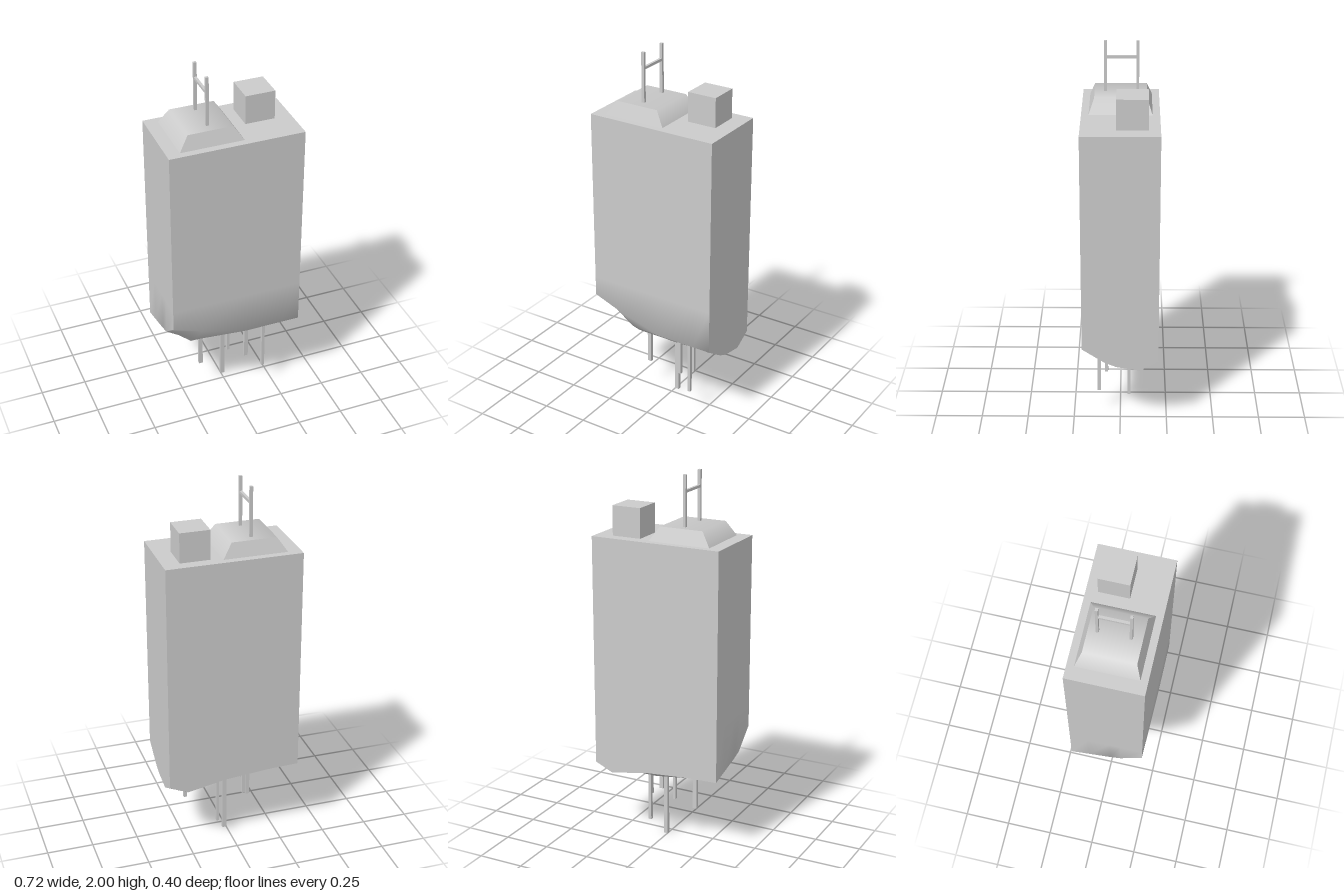
import * as THREE from 'three';
import { toCreasedNormals } from 'three/addons/utils/BufferGeometryUtils.js';

const material = new THREE.MeshStandardMaterial({ color: 0xcccccc });
const CREASE = 1.05;

function add(parent, name, geometry, x = 0, y = 0, z = 0) {
  const mesh = new THREE.Mesh(geometry, material);
  mesh.name = name;
  mesh.position.set(x, y, z);
  parent.add(mesh);
  return mesh;
}

// Tall block whose underside is an uneven, faceted keel
function bodyGeometry() {
  const xs = [-0.36, -0.2, 0.05, 0.26, 0.36];
  const zs = [-0.2, -0.1, 0.02, 0.08, 0.2];
  const underside = [ // heights by row of z, back to front
    [0.43, 0.425, 0.405, 0.365, 0.41],
    [0.455, 0.385, 0.35, 0.35, 0.355],
    [0.485, 0.345, 0.345, 0.355, 0.375],
    [0.505, 0.4, 0.395, 0.395, 0.4],
    [0.61, 0.55, 0.48, 0.48, 0.48],
  ];
  const rows = [0, 0.72, 1.66];
  const geometry = new THREE.BoxGeometry(4, 2, 4, 4, 2, 4);
  const p = geometry.attributes.position;
  for (let i = 0; i < p.count; i++) {
    const ix = Math.round(p.getX(i) + 2);
    const iy = Math.round(p.getY(i) + 1);
    const iz = Math.round(p.getZ(i) + 2);
    p.setXYZ(i, xs[ix], iy === 0 ? underside[iz][ix] : rows[iy], zs[iz]);
  }
  return toCreasedNormals(geometry, CREASE);
}

// Low hatch: a box with its top drawn in
function hatchGeometry() {
  const geometry = new THREE.BoxGeometry(0.34, 0.075, 0.324);
  const p = geometry.attributes.position;
  for (let i = 0; i < p.count; i++) {
    if (p.getY(i) > 0) p.setXYZ(i, Math.sign(p.getX(i)) * 0.119, p.getY(i), Math.sign(p.getZ(i)) * 0.134);
  }
  return toCreasedNormals(geometry, CREASE);
}

export function createModel() {
  const model = new THREE.Group();
  model.name = 'block';

  add(model, 'body', bodyGeometry());
  add(model, 'hatch', hatchGeometry(), -0.12, 1.6975, 0);
  add(model, 'roofBox', new THREE.BoxGeometry(0.16, 0.16, 0.16), 0.19, 1.738, -0.06);

  // Twin masts joined by a crossbar
  const masts = new THREE.Group();
  masts.name = 'masts';
  for (const z of [0.078, -0.087]) {
    add(masts, 'mast', new THREE.BoxGeometry(0.016, 0.3, 0.014), -0.117, 1.85, z);
  }
  add(masts, 'crossbar', new THREE.BoxGeometry(0.014, 0.014, 0.165), -0.117, 1.915, -0.0045);
  model.add(masts);

  // Rods hanging below the keel: x, z, lower end, width
  const rods = new THREE.Group();
  rods.name = 'hangingRods';
  const places = [
    [-0.14, 0.003, 0.16, 0.022],
    [-0.077, -0.115, 0.25, 0.016],
    [0.01, -0.047, 0, 0.024],
    [0.071, -0.116, 0.1, 0.016],
    [0.102, 0.076, 0.2, 0.022],
    [0.189, 0.114, 0.135, 0.017],
  ];
  for (const [x, z, low, width] of places) {
    const height = 0.46 - low;
    add(rods, 'rod', new THREE.BoxGeometry(width, height, 0.018), x, low + height / 2, z);
  }
  model.add(rods);

  return model;
}
